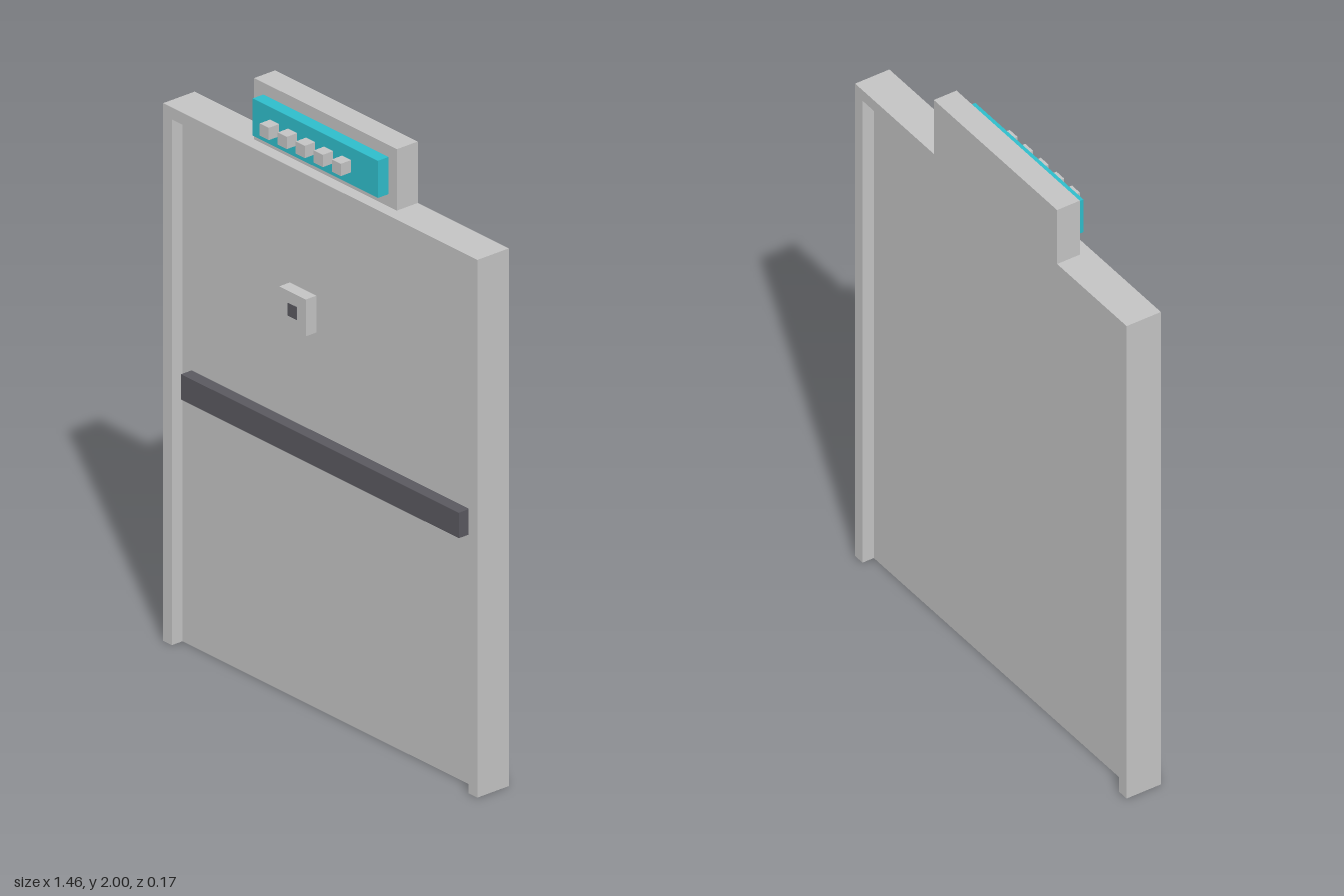
import * as THREE from 'three';

export function createModel() {
  const model = new THREE.Group();
  model.name = 'slidingDoor';

  const material = (name, color) => {
    const m = new THREE.MeshStandardMaterial({ color });
    m.name = name;
    return m;
  };
  const grey = material('lightGrey', 0xc4c4c4);
  const dark = material('darkGrey', 0x5a5960);
  const teal = material('teal', 0x2fbdcb);

  const add = (name, geometry, mat) => {
    const mesh = new THREE.Mesh(geometry, mat);
    mesh.name = name;
    model.add(mesh);
    return mesh;
  };
  // Box given by its lower and upper bounds on each axis
  const box = (name, mat, [x0, x1], [y0, y1], [z0, z1]) =>
    add(name, new THREE.BoxGeometry(x1 - x0, y1 - y0, z1 - z0), mat)
      .position.set((x0 + x1) / 2, (y0 + y1) / 2, (z0 + z1) / 2);

  const back = -0.083, front = 0.042;   // frame depth
  const W = 0.728, H = 1.795, T = 0.04; // frame half width, height, thickness

  // Door frame: two jambs and a lintel, open at the floor
  const outline = new THREE.Shape([
    [-W, 0], [-W + T, 0], [-W + T, H - T], [W - T, H - T],
    [W - T, 0], [W, 0], [W, H], [-W, H],
  ].map(([x, y]) => new THREE.Vector2(x, y)));
  add('frame', new THREE.ExtrudeGeometry(outline, { depth: front - back, bevelEnabled: false }), grey)
    .position.z = back;

  // Door leaf, recessed on both sides
  box('doorPanel', grey, [-W + T, W - T], [0, H - T], [-0.042, 0]);

  // Push bar across the door
  box('pushBar', dark, [-0.645, 0.642], [0.835, 0.92], [0, front]);

  // Peephole block with its dark opening
  box('peepholeBlock', grey, [-0.19, -0.067], [1.254, 1.377], [0, front]);
  box('peephole', dark, [-0.149, -0.107], [1.295, 1.337], [front - 0.002, front + 0.002]);

  // Sign above the door with a lit face and a row of studs
  box('signBack', grey, [-0.355, 0.306], [H, 2], [back, 0]);
  box('signFace', teal, [-0.313, 0.267], [1.836, 1.96], [0, front]);
  for (let i = 0; i < 5; i++) {
    const x = -0.212 + i * 0.0835;
    box('signStud' + (i + 1), grey, [x - 0.021, x + 0.021], [1.877, 1.918], [front, 0.083]);
  }

  return model;
}
